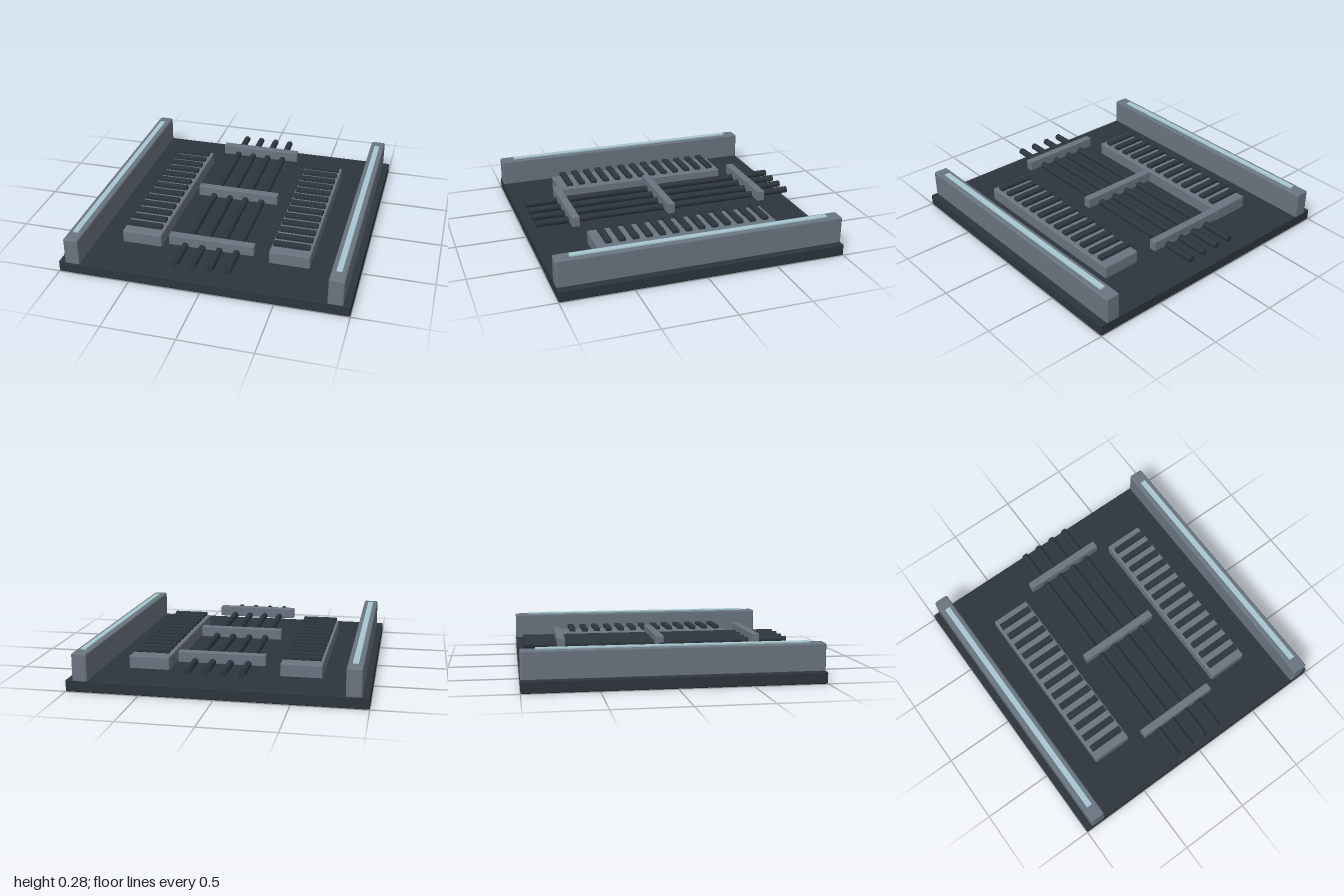
import * as THREE from 'three';
import { RoundedBoxGeometry } from 'three/addons/geometries/RoundedBoxGeometry.js';

const darkMetal = new THREE.MeshStandardMaterial({ name: 'darkMetal', color: 0x2d353c });
const greyMetal = new THREE.MeshStandardMaterial({ name: 'greyMetal', color: 0x6a7580 });
const paleLight = new THREE.MeshStandardMaterial({ name: 'paleLight', color: 0xa9c8d2 });

// Box with softened edges, given by its size and centre
function block(parent, name, material, size, centre, bevel) {
  const mesh = new THREE.Mesh(new RoundedBoxGeometry(...size, 2, bevel), material);
  mesh.name = name;
  mesh.position.set(...centre);
  parent.add(mesh);
  return mesh;
}

export function createModel() {
  const model = new THREE.Group();
  model.name = 'floorPanel';

  // Base plate
  block(model, 'basePlate', darkMetal, [2, 0.08, 2], [0, 0.04, 0], 0.008);

  for (const side of [-1, 1]) {
    const label = side > 0 ? 'left' : 'right';

    // Raised edge rail with a light strip on top
    block(model, label + 'Rail', greyMetal, [0.105, 0.195, 2], [side * 0.9, 0.1675, 0], 0.012);
    block(model, label + 'LightStrip', paleLight, [0.04, 0.02, 1.8], [side * 0.9, 0.266, 0], 0.003);

    // Vent housing with a row of slats hovering just above it
    const vent = new THREE.Group();
    vent.name = label + 'Vent';
    block(vent, 'ventHousing', greyMetal, [0.285, 0.1, 1.3], [side * 0.525, 0.119, 0], 0.01);
    for (let i = 0; i < 13; i++) {
      block(vent, 'ventSlat', darkMetal, [0.255, 0.025, 0.046], [side * 0.525, 0.193, (i - 6) * 0.095], 0.004);
    }
    model.add(vent);
  }

  // Four parallel pipes along the middle
  const pipeGeometry = new THREE.CylinderGeometry(0.024, 0.024, 1.92, 10).rotateX(Math.PI / 2);
  for (let i = 0; i < 4; i++) {
    const pipe = new THREE.Mesh(pipeGeometry, darkMetal);
    pipe.name = 'pipe';
    pipe.position.set((i - 1.5) * 0.12, 0.174, 0);
    model.add(pipe);
  }

  // Clamps across the pipes
  for (const z of [-0.7, 0, 0.7]) {
    block(model, 'pipeClamp', greyMetal, [0.595, 0.076, 0.055], [0, 0.201, z], 0.006);
  }

  return model;
}
